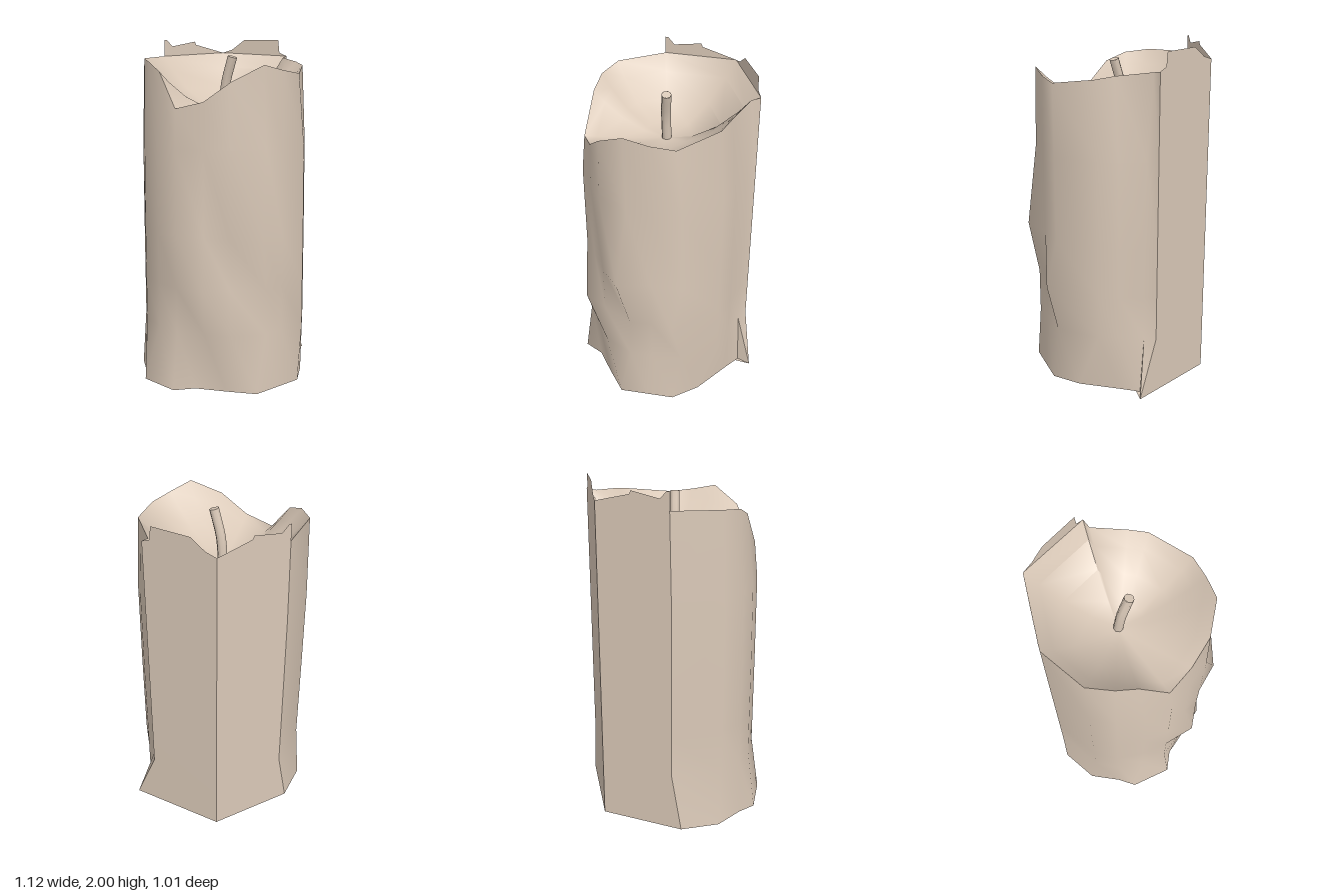
import * as THREE from 'three';
import { toCreasedNormals } from 'three/addons/utils/BufferGeometryUtils.js';

// Columns around the candle: base x,z | middle x,z | rim x,z,y
const COLUMNS = [
  [0.56, 0.06, 0.50, -0.06, 0.50, -0.06, 1.90],
  [0.48, 0.03, 0.46, 0.00, 0.45, -0.04, 1.89],
  [0.41, 0.13, 0.42, 0.14, 0.38, 0.15, 1.87],
  [0.27, 0.34, 0.37, 0.25, 0.34, 0.25, 1.85],
  [0.13, 0.46, 0.18, 0.44, 0.14, 0.43, 1.81],
  [-0.03, 0.465, 0.00, 0.455, 0.00, 0.45, 1.83],
  [-0.20, 0.47, -0.13, 0.465, -0.14, 0.45, 1.86],
  [-0.31, 0.33, -0.31, 0.37, -0.30, 0.36, 1.77],
  [-0.42, 0.18, -0.40, 0.24, -0.39, 0.23, 1.66],
  [-0.535, 0.12, -0.49, 0.10, -0.47, 0.08, 1.62],
  [-0.56, -0.13, -0.50, -0.06, -0.455, -0.09, 1.82],
  [-0.49, -0.22, -0.48, -0.22, -0.44, -0.21, 1.87],
  [-0.40, -0.39, -0.40, -0.35, -0.38, -0.35, 1.89],
  [-0.20, -0.505, -0.14, -0.498, -0.13, -0.497, 1.90],
  [0.30, -0.45, 0.30, -0.45, 0.30, -0.45, 1.92],
];
// Wax drips on the front: column, height, x, z
const DRIPS = [[4, 0.6, 0.13, 0.49], [6, 0.9, -0.19, 0.51], [8, 0.6, -0.45, 0.29]];
const WICK_BASE = new THREE.Vector3(-0.02, 1.58, -0.05);
const BOWL_FLOOR = 1.59;

const ring = (fn) => COLUMNS.map((c, i) => new THREE.Vector3(...fn(c, i)));

// Surface through the rings, from one column to another around the candle
function stripGeometry(rings, from, to, crease) {
  const pos = [];
  const tri = (a, b, c) => {
    if (a.equals(b) || b.equals(c) || a.equals(c)) return;
    for (const p of [a, b, c]) pos.push(p.x, p.y, p.z);
  };
  for (let r = 0; r < rings.length - 1; r++) {
    for (let i = from; i < to; i++) {
      const j = (i + 1) % COLUMNS.length;
      const [a, b, c, d] = [rings[r][i], rings[r][j], rings[r + 1][j], rings[r + 1][i]];
      tri(a, d, c);
      tri(a, c, b);
    }
  }
  const geo = new THREE.BufferGeometry();
  geo.setAttribute('position', new THREE.Float32BufferAttribute(pos, 3));
  return toCreasedNormals(geo, crease);
}

// Jagged sheet standing on the rim between two columns; points are [fraction, height]
function lipGeometry(from, to, points) {
  const a = COLUMNS[from], b = COLUMNS[to];
  const pos = [], index = [];
  points.forEach(([t, y], i) => {
    const x = a[4] + (b[4] - a[4]) * t;
    const z = a[5] + (b[5] - a[5]) * t;
    pos.push(x, a[6] + (b[6] - a[6]) * t, z, x, y, z);
    if (i > 0) {
      const k = 2 * i;
      index.push(k - 2, k - 1, k + 1, k - 2, k + 1, k);
    }
  });
  const geo = new THREE.BufferGeometry();
  geo.setAttribute('position', new THREE.Float32BufferAttribute(pos, 3));
  geo.setIndex(index);
  geo.computeVertexNormals();
  return geo;
}

export function createModel() {
  const wax = new THREE.MeshStandardMaterial({ color: 0xd9c8b7, side: THREE.DoubleSide });
  wax.name = 'wax';
  const model = new THREE.Group();
  model.name = 'candle';
  const add = (name, geo) => {
    const mesh = new THREE.Mesh(geo, wax);
    mesh.name = name;
    model.add(mesh);
    return mesh;
  };

  // Cross-sections of the wall, from the ground to the rim
  const base = ring((c) => [c[0], 0, c[1]]);
  const rim = ring((c) => [c[4], c[6], c[5]]);
  const middle = [[0.34, 0], [0.6, 0], [0.9, 0], [1.4, 0.1]].map(([y, t]) => ring((c, i) => {
    const drip = DRIPS.find((d) => d[0] === i && d[1] === y);
    if (drip) return [drip[2], y, drip[3]];
    return [c[2] + (c[4] - c[2]) * t, y, c[3] + (c[5] - c[3]) * t];
  }));
  const wall = [base, ...middle, rim];

  // Rounded front wall and two flat cut sides meeting at sharp corners
  add('roundWall', stripGeometry(wall, 0, 13, 1.3));
  add('backWall', stripGeometry(wall, 13, 14, 0.5));
  add('leftWall', stripGeometry(wall, 14, 15, 0.5));
  add('underside', stripGeometry([ring(() => [0, 0, 0]), base], 0, 15, 0.5));

  // Melted bowl
  const bowl = [1, 0.85, 0.6, 0.3, 0].map((t) => ring((c) => [
    WICK_BASE.x + (c[4] - WICK_BASE.x) * t,
    BOWL_FLOOR + (c[6] - BOWL_FLOOR) * t * t,
    WICK_BASE.z + (c[5] - WICK_BASE.z) * t,
  ]));
  add('meltedBowl', stripGeometry(bowl, 0, 15, 1.3));

  // Broken edges above the flat sides
  add('backLip', lipGeometry(13, 14, [
    [0, 2], [0.04, 2], [0.13, 1.96], [0.51, 1.99], [0.53, 1.97], [1, 1.92],
  ]));
  add('leftLip', lipGeometry(14, 0, [
    [0, 1.92], [0.15, 1.94], [0.34, 2], [0.87, 2], [0.89, 1.92], [1, 1.9],
  ]));

  // Wick, slightly bent, with a flat tip
  const path = new THREE.CatmullRomCurve3([
    WICK_BASE,
    new THREE.Vector3(-0.02, 1.74, -0.03),
    new THREE.Vector3(-0.007, 1.9, 0.018),
  ]);
  add('wick', new THREE.TubeGeometry(path, 6, 0.028, 8));
  const tip = add('wickTip', new THREE.CircleGeometry(0.028, 8));
  tip.position.copy(path.getPoint(1));
  tip.lookAt(path.getPoint(1).add(path.getTangent(1)));

  return model;
}
